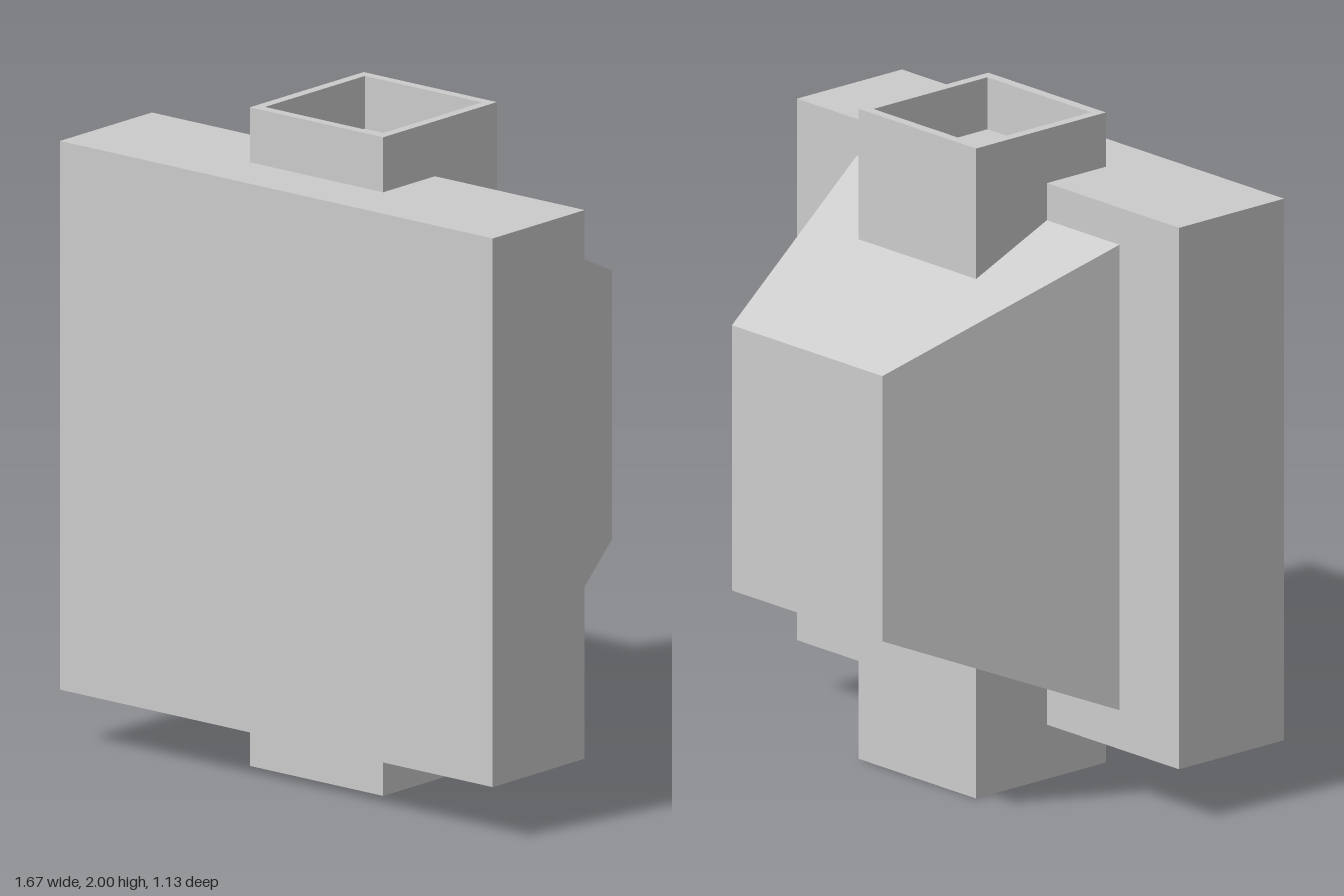
import * as THREE from 'three';

const material = new THREE.MeshStandardMaterial({ color: 0xcccccc, flatShading: true });

function add(group, name, geometry, x, y, z) {
  const mesh = new THREE.Mesh(geometry, material);
  mesh.name = name;
  mesh.position.set(x, y, z);
  group.add(mesh);
}

// Corners of a centred square, counter-clockwise
function square(half) {
  return [[-1, -1], [1, -1], [1, 1], [-1, 1]].map(([x, y]) => new THREE.Vector2(x * half, y * half));
}

// Box whose back face (-z) shrinks to the given size
function taperedBox(width, height, depth, backWidth, backHeight) {
  const geometry = new THREE.BoxGeometry(width, height, depth);
  const p = geometry.attributes.position;
  for (let i = 0; i < p.count; i++) {
    if (p.getZ(i) < 0) {
      p.setX(i, Math.sign(p.getX(i)) * backWidth / 2);
      p.setY(i, Math.sign(p.getY(i)) * backHeight / 2);
    }
  }
  geometry.computeVertexNormals();
  return geometry;
}

export function createModel() {
  const group = new THREE.Group();
  group.name = 'panelWithDuct';

  // Thick front slab
  add(group, 'frontPanel', new THREE.BoxGeometry(1.666, 1.666, 0.415), 0, 1, 0.3575);

  // Housing that narrows towards the back
  add(group, 'rearHousing', taperedBox(1.146, 1.432, 0.715, 0.656, 0.816), 0, 1.003, -0.2075);

  // Vertical square duct running through the body
  const ring = new THREE.Shape(square(0.2565));
  ring.holes.push(new THREE.Path(square(0.2255).reverse()));
  const duct = new THREE.ExtrudeGeometry(ring, { depth: 2, bevelEnabled: false });
  duct.rotateX(-Math.PI / 2);
  add(group, 'ductWalls', duct, 0, 0, 0.127);

  // Core closing the duct, leaving a shallow socket at each end
  add(group, 'ductCore', new THREE.BoxGeometry(0.451, 1.68, 0.451), 0, 1, 0.127);

  return group;
}
